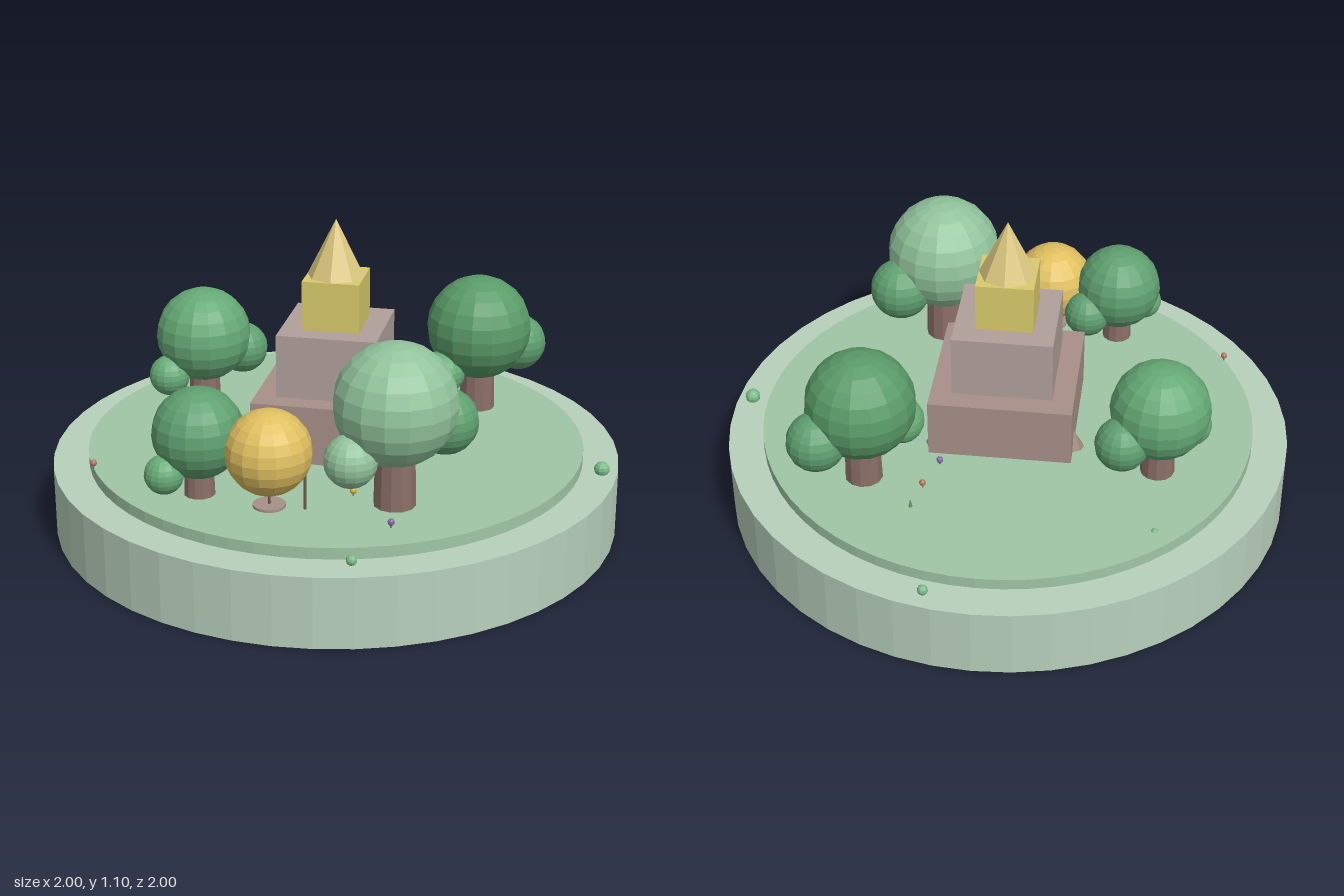
import * as THREE from 'three';

const GROUND = 0.29;

function part(parent, name, geometry, color, x = 0, y = 0, z = 0) {
  const material = new THREE.MeshStandardMaterial({ color });
  material.flatShading = true;
  const mesh = new THREE.Mesh(geometry, material);
  mesh.name = name;
  mesh.position.set(x, y, z);
  parent.add(mesh);
  return mesh;
}

const ball = (r, w = 16, h = 12) => new THREE.SphereGeometry(r, w, h);
const box = (w, h) => new THREE.BoxGeometry(w, h, w);

// Tree: tapered trunk, round crown and two smaller leaf clumps scaled from the crown radius
function addTree(parent, name, x, y, z, r, crownColor) {
  const tree = new THREE.Group();
  tree.name = name;
  tree.position.set(x, 0, z);
  const bottom = 0.25;
  part(tree, 'trunk', new THREE.CylinderGeometry(r * 0.3, r * 0.35, y - bottom, 12), 0x8c6f68, 0, (y + bottom) / 2, 0);
  part(tree, 'crown', ball(r), crownColor, 0, y, 0);
  part(tree, 'backLeafClump', ball(r * 0.54), 0x5fa070, r * 0.7, y - r * 0.47, -r * 0.58);
  part(tree, 'frontLeafClump', ball(r * 0.43), crownColor === 0x92c49c ? 0x92c49c : 0x68ac78, -r * 0.6, y - r * 0.77, r * 0.6);
  parent.add(tree);
}

export function createModel() {
  const model = new THREE.Group();
  model.name = 'gardenIsland';

  // Round base and raised lawn
  part(model, 'base', new THREE.CylinderGeometry(1, 1, 0.25, 48), 0xb8d0bc, 0, 0.125, 0);
  part(model, 'lawn', new THREE.CylinderGeometry(0.875, 0.875, 0.08, 64), 0xa0c6a6, 0, GROUND - 0.04, 0);

  // Stepped tower with a pointed roof
  const tower = new THREE.Group();
  tower.name = 'tower';
  part(tower, 'lowerTier', box(0.5, 0.5), 0xa89088, 0, 0.25, 0);
  part(tower, 'upperTier', box(0.35, 0.35), 0xb0a09c, 0, 0.55, 0);
  part(tower, 'goldenRoom', box(0.2, 0.2), 0xdacb6c, 0, 0.8, 0);
  part(tower, 'roof', new THREE.ConeGeometry(0.1, 0.2, 8), 0xdcc880, 0, 1.0, 0);
  part(tower, 'sideSpike', new THREE.ConeGeometry(0.04, 0.07, 8), 0x9c847c, -0.25, GROUND + 0.03, -0.15);
  model.add(tower);

  // Trees
  addTree(model, 'backLeftTree', 0.45, 0.6, -0.4, 0.19, 0x5a9c68);
  addTree(model, 'frontLeftTree', 0.3, 0.645, 0.5, 0.207, 0x92c49c);
  addTree(model, 'backRightTree', -0.55, 0.553, -0.25, 0.173, 0x66aa76);
  addTree(model, 'frontRightTree', -0.35, 0.51, 0.55, 0.155, 0x5fa070);

  // Golden globe on thin posts above a flat foot
  const globe = new THREE.Group();
  globe.name = 'goldenGlobe';
  globe.position.set(-0.1, 0, 0.6);
  part(globe, 'globe', ball(0.145), 0xe0c060, 0, 0.483, 0);
  part(globe, 'foot', new THREE.CylinderGeometry(0.055, 0.055, 0.012, 16), 0xa89088, 0, GROUND + 0.003, 0);
  for (const x of [0, 0.12]) {
    part(globe, 'post', new THREE.CylinderGeometry(0.005, 0.005, 0.19, 6), 0x6c5850, x, 0.365, 0);
  }
  model.add(globe);

  // Shrubs on the rim: x, z, radius
  [[0.945, 0.03, 0.027], [0.23, 0.88, 0.018], [0.165, -0.92, 0.018]].forEach(([x, z, r]) =>
    part(model, 'rimShrub', ball(r, 10, 8), 0x7cbc8c, x, 0.265, z));

  // Low tufts, nearly buried in the lawn
  [[-0.56, -0.57], [-0.5, 0.22]].forEach(([x, z]) =>
    part(model, 'tuft', ball(0.013, 8, 6), 0x7cbc8c, x, GROUND - 0.005, z));
  part(model, 'sprout', new THREE.ConeGeometry(0.008, 0.035, 6), 0x5a9c68, 0.265, GROUND + 0.015, -0.545);

  // Small flower heads: x, z, color
  const [red, gold, blue, purple] = [0xb87860, 0xd8b040, 0x5088a8, 0x8868a8];
  [
    [-0.76, 0.43, red], [0.37, 0.03, gold], [0.27, 0.165, red], [0.24, -0.44, red],
    [0.2, -0.31, purple], [0.25, -0.215, blue], [-0.065, 0.25, blue],
    [0.155, 0.47, gold], [0.32, 0.68, purple],
  ].forEach(([x, z, color]) => {
    part(model, 'flowerHead', ball(0.012, 8, 6), color, x, 0.31, z);
    part(model, 'flowerStem', new THREE.CylinderGeometry(0.003, 0.003, 0.03, 5), 0x5a9c68, x, 0.295, z);
  });

  return model;
}
